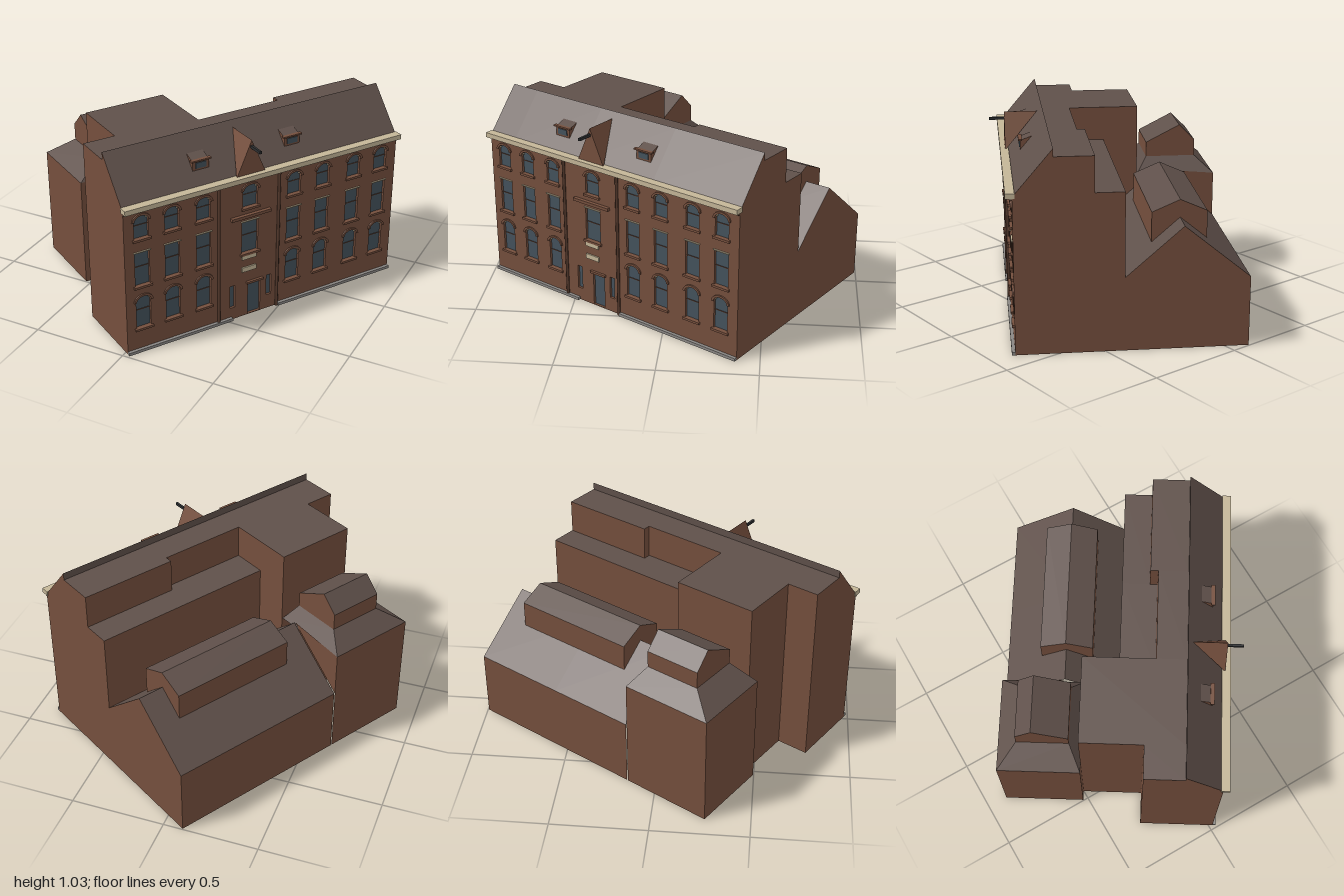
import * as THREE from 'three';

const mat = (name, color) => {
  const m = new THREE.MeshStandardMaterial({ color, side: THREE.DoubleSide });
  m.name = name;
  return m;
};

export function createModel() {
  const brick = mat('brick brown', 0x754f3d);
  const roof = mat('roof brown grey', 0x5f504a);
  const glass = mat('window slate', 0x44525c);
  const stone = mat('pale stone', 0xc4b698);
  const trim = mat('dark brown trim', 0x553a2d);
  const paving = mat('paving grey', 0x8a8784);
  const iron = mat('dark iron', 0x2c2e30);

  // Local frame: s along the street front, y up, t = depth behind the front (z = -t)
  const house = new THREE.Group();
  house.name = 'townhouse';
  house.rotation.y = 1.0122;
  house.position.set(0.02, 0, 0.98);
  const S = 1.61;

  const add = (name, geo, material, x = 0, y = 0, z = 0) => {
    const m = new THREE.Mesh(geo, material);
    m.name = name;
    m.position.set(x, y, z);
    house.add(m);
    return m;
  };
  const box = (name, material, s, y, z, w, h, d) =>
    add(name, new THREE.BoxGeometry(w, h, d), material, s, y, z);

  // Flat convex face through [s, y, t] corners
  const face = (name, material, ...pts) => {
    const pos = [];
    for (let i = 1; i < pts.length - 1; i++)
      for (const p of [pts[0], pts[i], pts[i + 1]]) pos.push(p[0], p[1], -p[2]);
    const g = new THREE.BufferGeometry();
    g.setAttribute('position', new THREE.Float32BufferAttribute(pos, 3));
    g.computeVertexNormals();
    add(name, g, material);
  };
  // Sweep a [t, y] profile from s0 to s1; key: w wall, r roof, - open
  const sweep = (name, key, profile, s0, s1) => {
    for (let i = 0; i < key.length; i++) {
      if (key[i] === '-') continue;
      const [a, b] = [profile[i], profile[i + 1]];
      face(name + (key[i] === 'r' ? 'Roof' : 'Wall'), key[i] === 'r' ? roof : brick,
        [s0, a[1], a[0]], [s1, a[1], a[0]], [s1, b[1], b[0]], [s0, b[1], b[0]]);
    }
  };
  // Flat end wall at s with a [t, y] outline
  const endWall = (name, s, outline) => {
    const g = new THREE.ShapeGeometry(new THREE.Shape(outline.map(p => new THREE.Vector2(...p))));
    g.rotateY(Math.PI / 2);
    add(name, g, brick, s);
  };

  // Front range: left end, tall rear block, then stepped range with a low gabled rear
  const leftEnd = [[0, 0], [0, 0.8], [0.195, 1.03], [0.195, 0.99], [0.4, 0.99], [0.4, 0]];
  sweep('leftEnd', '-rrrw', leftEnd, 0, 0.17);
  endWall('leftEndWall', 0, leftEnd);
  const tall = [[0, 0], [0, 0.8], [0.195, 1.03], [0.195, 0.99], [0.72, 0.99], [0.72, 0]];
  sweep('tallBlock', '-rrrw', tall, 0.17, 0.615);
  endWall('tallBlockSide', 0.17, [[0.4, 0], [0.4, 0.99], [0.72, 0.99], [0.72, 0]]);
  endWall('tallBlockInnerSide', 0.615,
    [[0.35, 0.99], [0.72, 0.99], [0.72, 0.54], [0.53, 0.38], [0.53, 0.81], [0.35, 0.81]]);
  const stepped = t => [[0, 0], [0, 0.8], [0.195, 1.03], [0.195, 0.99], [t, 0.99], [t, 0.81],
    [0.535, 0.81], [0.535, 0.38], [0.82, 0.63], [1.15, 0.36], [1.15, 0]];
  sweep('range', '-rrrwrwrrw', stepped(0.35), 0.615, 1.09);
  sweep('range', '-rrrwrwrrw', stepped(0.39), 1.09, S);
  endWall('recessSide', 1.09, [[0.35, 0.81], [0.35, 0.99], [0.39, 0.99], [0.39, 0.81]]);
  endWall('rightEndWall', S, stepped(0.39));

  // Long raised lantern over the rear ridge
  const lantern = [[0.68, 0.48], [0.68, 0.66], [0.82, 0.72], [0.955, 0.66], [0.955, 0.5]];
  sweep('lantern', 'wrrw', lantern, 0.78, 1.47);
  for (const s of [0.78, 1.47]) endWall('lanternEnd', s, lantern);

  // Rear wing: walls, hipped skirt roof, gabled attic
  const a = 0.12, b = 0.61;
  face('wingBackWall', brick, [a, 0, 1.15], [b, 0, 1.15], [b, 0.6, 1.15], [a, 0.6, 1.15]);
  face('wingEndWall', brick, [a, 0, 0.72], [a, 0, 1.15], [a, 0.6, 1.15], [a, 0.6, 0.72]);
  face('wingReturnWall', brick, [a, 0, 0.72], [0.17, 0, 0.72], [0.17, 0.6, 0.72], [a, 0.6, 0.72]);
  face('wingInnerWall', brick, [b, 0.63, 0.82], [b, 0.6, 1.15], [b, 0.36, 1.15]);
  const low = [[a, 0.6, 0.72], [b, 0.6, 0.72], [b, 0.6, 1.15], [a, 0.6, 1.15]];
  const high = [[0.25, 0.69, 0.78], [0.55, 0.69, 0.78], [0.55, 0.69, 1.05], [0.25, 0.69, 1.05]];
  for (let i = 0; i < 4; i++) {
    const j = (i + 1) % 4;
    face('wingRoof', roof, low[i], low[j], high[j], high[i]);
  }
  const attic = [[0.78, 0.68], [0.78, 0.77], [0.965, 0.865], [1.05, 0.78], [1.05, 0.68]];
  sweep('attic', 'wrrw', attic, 0.25, 0.55);
  for (const s of [0.25, 0.55]) endWall('atticEnd', s, attic);

  // Street front with window openings: [centre s, bottom, top, width, arched]
  const openings = [];
  for (const s of [0.094, 0.26, 0.436, 0.967, 1.144, 1.338, 1.51])
    openings.push([s, 0.135, 0.315, 0.08, true], [s, 0.375, 0.56, 0.08, false], [s, 0.635, 0.76, 0.078, true]);
  openings.push([0.705, 0.375, 0.555, 0.095, false], [0.705, 0.635, 0.76, 0.085, true],
    [0.605, 0.07, 0.2, 0.03, false], [0.825, 0.08, 0.2, 0.03, false], [0.735, 0.004, 0.19, 0.075, false]);
  const outline = ([s, y0, y1, w, arched], Kind) => {
    const p = new Kind(), r = w / 2, rise = arched ? 0.03 : 0;
    p.moveTo(s - r, y0);
    p.lineTo(s + r, y0);
    p.lineTo(s + r, y1 - rise);
    if (arched) p.absellipse(s, y1 - rise, r, rise, 0, Math.PI, false);
    else p.lineTo(s - r, y1);
    p.closePath();
    return p;
  };
  const wall = new THREE.Shape([[0, 0], [S, 0], [S, 0.8], [0, 0.8]].map(p => new THREE.Vector2(...p)));
  for (const o of openings) wall.holes.push(outline(o, THREE.Path));
  add('streetFront', new THREE.ExtrudeGeometry(wall, { depth: 0.02, bevelEnabled: false, curveSegments: 8 }),
    brick, 0, 0, -0.02);
  for (const o of openings) {
    const [s, y0, y1, w, arched] = o;
    add('windowGlass', new THREE.ShapeGeometry(outline(o, THREE.Shape), 8), glass, 0, 0, -0.013);
    if (y0 < 0.1) continue;
    box('windowSill', brick, s, y0 - 0.006, 0.004, w + 0.02, 0.012, 0.016);
    box('glazingBar', trim, s, y0 + (y1 - y0) * 0.55, -0.011, w, 0.004, 0.003);
    if (arched) {
      // Thin raised hood following the arch
      const hood = new THREE.Shape();
      hood.absellipse(s, y1 - 0.03, w / 2 + 0.012, 0.041, 0, Math.PI, false);
      hood.absellipse(s, y1 - 0.03, w / 2, 0.03, Math.PI, 0, true);
      add('archHood', new THREE.ExtrudeGeometry(hood, { depth: 0.008, bevelEnabled: false, curveSegments: 8 }), brick);
      for (const d of [-1, 1])
        box('archSpringer', stone, s + d * (w / 2 - 0.006), y1 - 0.018, -0.006, 0.008, 0.006, 0.008);
    } else box('windowLintel', stone, s, y1 + 0.003, 0.002, w + 0.012, 0.005, 0.01);
  }

  // Central bay: ledges, plain sign plates, door surround, downpipes
  box('bayLedge', brick, 0.705, 0.59, 0.008, 0.23, 0.016, 0.022);
  for (const y of [0.352, 0.28]) box('signPlate', stone, 0.7, y, 0.004, 0.085, 0.026, 0.008);
  box('doorHead', brick, 0.735, 0.197, 0.006, 0.1, 0.012, 0.016);
  for (const s of [0.52, 0.872])
    add('downpipe', new THREE.CylinderGeometry(0.008, 0.008, 0.79, 8), trim, s, 0.395, 0.006);

  // Cornice and pavement strip
  box('cornice', stone, S / 2, 0.806, 0.01, S + 0.01, 0.026, 0.045);
  box('corniceBand', trim, S / 2, 0.788, 0.005, S, 0.012, 0.014);
  for (const [s0, s1] of [[0, 0.6], [0.88, S]])
    box('pavementStrip', paving, (s0 + s1) / 2, 0.008, 0.008, s1 - s0, 0.016, 0.018);

  // Central gable with its roof running back into the slope
  const apex = [0.705, 1.0, -0.005], back = [0.705, 1.0, 0.17];
  face('gableFront', brick, [0.62, 0.81, -0.005], [0.79, 0.81, -0.005], apex);
  face('gableRoof', brick, [0.62, 0.81, -0.005], apex, back);
  face('gableRoof', brick, [0.79, 0.81, -0.005], apex, back);
  box('hoistBeam', iron, 0.705, 0.965, 0.035, 0.012, 0.014, 0.1);

  // Two small roof dormers
  for (const s of [0.46, 0.99]) {
    const side = [[0.065, 0.877], [0.065, 0.925], [0.125, 0.947]];
    sweep('dormer', 'wr', side, s - 0.045, s + 0.045);
    for (const d of [-0.045, 0.045]) endWall('dormerCheek', s + d, side);
    box('dormerGlass', glass, s, 0.902, -0.063, 0.06, 0.03, 0.004);
    box('dormerEave', brick, s, 0.928, -0.066, 0.11, 0.008, 0.02);
  }

  const model = new THREE.Group();
  model.name = 'building';
  model.add(house);
  return model;
}
